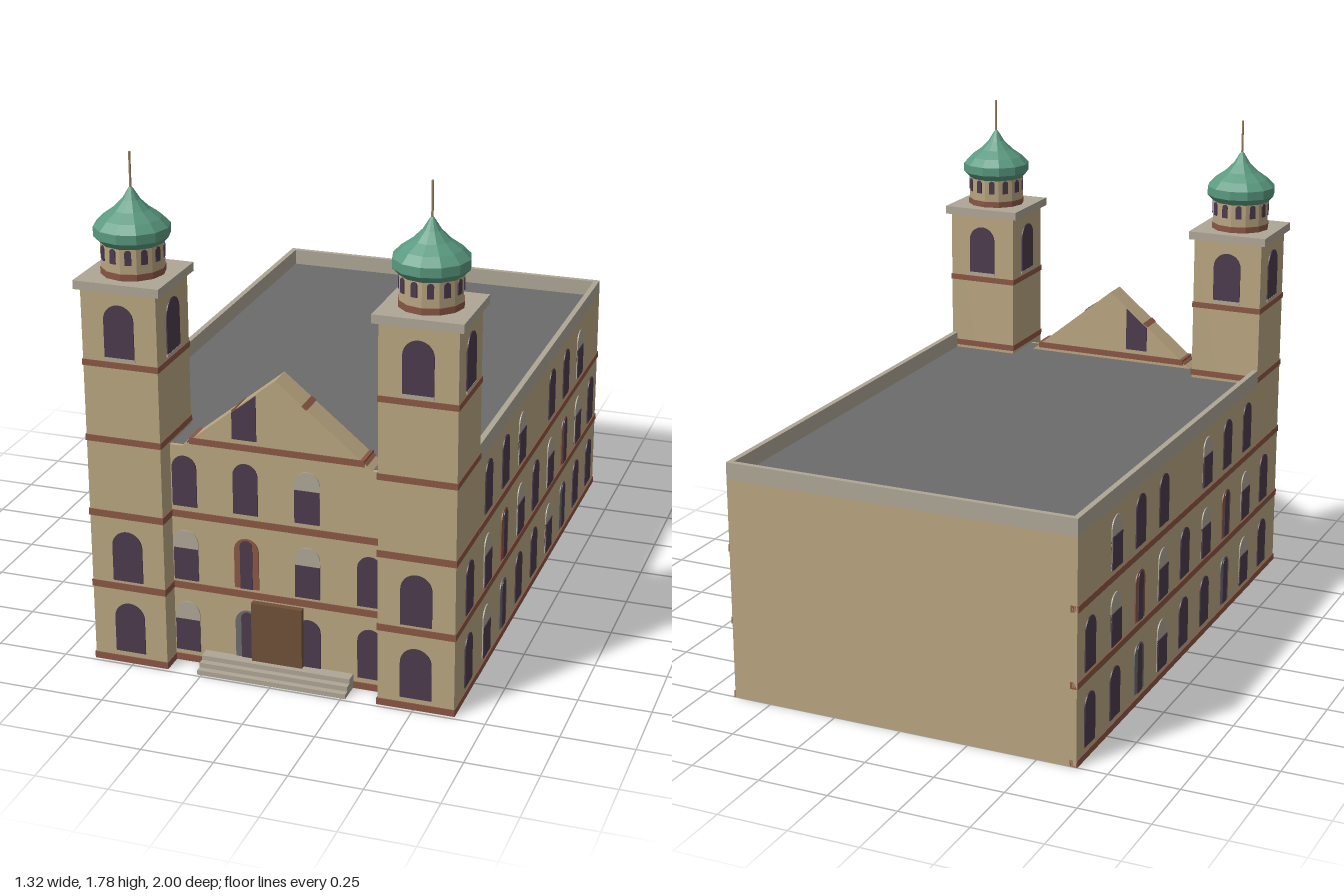
import * as THREE from 'three';

const mat = (name, color) => {
  const m = new THREE.MeshStandardMaterial({ color });
  m.name = name;
  return m;
};
const M = {
  wall: mat('sandstone', 0xb9a580),
  band: mat('brick', 0x8a5644),
  glass: mat('dark glass', 0x4b3a4c),
  stone: mat('pale stone', 0xaea696),
  roof: mat('slate grey', 0x6b6b6b),
  dome: mat('copper green', 0x5a9a80),
  door: mat('door wood', 0x6e5038),
  pole: mat('bronze', 0x9c8560),
};

function add(parent, name, geo, material, x = 0, y = 0, z = 0) {
  const mesh = new THREE.Mesh(geo, material);
  mesh.name = name;
  mesh.position.set(x, y, z);
  parent.add(mesh);
  return mesh;
}
// Box given by its extents
const box = (parent, name, m, x0, x1, y0, y1, z0, z1) =>
  add(parent, name, new THREE.BoxGeometry(x1 - x0, y1 - y0, z1 - z0), m,
    (x0 + x1) / 2, (y0 + y1) / 2, (z0 + z1) / 2);

const extrude = (shape, depth) =>
  new THREE.ExtrudeGeometry(shape, { depth, bevelEnabled: false, curveSegments: 10 });

// Faceted surface of revolution
function faceted(points, sides) {
  const g = new THREE.LatheGeometry(points.map(p => new THREE.Vector2(...p)), sides).toNonIndexed();
  g.computeVertexNormals();
  return g;
}

// Square tube standing upright, open at both ends
function squareRing(half, thick, height) {
  const sq = (C, r) => new C().setFromPoints([[-r, -r], [r, -r], [r, r], [-r, r]].map(p => new THREE.Vector2(...p)));
  const s = sq(THREE.Shape, half);
  s.holes.push(sq(THREE.Path, half - thick));
  return extrude(s, height).rotateX(-Math.PI / 2);
}

// Round-headed plate, base at y = 0
function archPlate(w, h, depth = 0.004) {
  const r = w / 2, s = new THREE.Shape();
  s.moveTo(-r, 0);
  s.lineTo(r, 0);
  s.lineTo(r, h - r);
  s.absarc(0, h - r, r, 0, Math.PI, false);
  s.closePath();
  return extrude(s, depth);
}

// Window kinds: a = plain, g = stone head, b = brick jambs, s = slate jambs
function windowAt(face, kind, x, y, w, h, innerOffset) {
  const base = { a: M.glass, g: M.stone, b: M.band, s: M.roof }[kind];
  add(face, 'window', archPlate(w, h), base, x, y, 0);
  if (kind === 'g') box(face, 'windowPane', M.glass, x - w / 2, x + w / 2, y, y + h * 0.64, 0.001, 0.007);
  if (kind === 'b' || kind === 's') add(face, 'windowPane', archPlate(w * 0.5, h * 0.97), M.glass, x, y, 0.003);
  if (innerOffset) add(face, 'innerWindow', archPlate(w, h), M.glass, x, y, -innerOffset);
}

// Local frame on a wall: x along the wall, z outward
function wallFace(parent, name, x, z, turn) {
  const g = new THREE.Group();
  g.name = name;
  g.position.set(x, 0, z);
  g.rotation.y = turn;
  parent.add(g);
  return g;
}

const FLOORS = [0.043, 0.31, 0.582];
const WIN_H = 0.183;
const BANDS = [[0, 0.024], [0.275, 0.299], [0.54, 0.564]];

function buildSide(root, s) {
  const side = new THREE.Group();
  side.name = s > 0 ? 'leftSide' : 'rightSide';
  root.add(side);
  const x0 = s > 0 ? 0.62 : -0.64, x1 = x0 + 0.02;
  box(side, 'sideWall', M.wall, x0, x1, 0, 0.8, -1, 0.72);
  box(side, 'sideParapet', M.stone, x0, x1, 0.8, 0.86, -1, 0.72);
  for (const [a, b] of BANDS) box(side, 'sideBand', M.band, x0 - 0.004, x1 + 0.004, a, b, -1, 0.72);
  const face = wallFace(side, 'sideWindows', s * 0.64, 0, s * Math.PI / 2);
  const rows = ['agsaagsaa', 'agbgagbga', ' aag aag '];
  rows.forEach((row, f) => [...row].forEach((kind, i) => {
    if (kind !== ' ') windowAt(face, kind, -s * (0.825 - 0.215 * i), FLOORS[f], 0.085, WIN_H, 0.024);
  }));
}

function buildTower(root, s) {
  const t = new THREE.Group();
  t.name = s > 0 ? 'leftTower' : 'rightTower';
  t.position.set(s * 0.508, 0, 0.852);
  root.add(t);
  const half = 0.132;
  add(t, 'towerShaft', squareRing(half, 0.02, 1.345), M.wall);
  for (const [a, b] of [...BANDS, [0.812, 0.834], [1.08, 1.101]])
    add(t, 'towerBand', squareRing(half + 0.003, 0.026, b - a), M.band, 0, a, 0);
  box(t, 'towerCornice', M.stone, -0.15, 0.15, 1.345, 1.375, -0.148, 0.148);

  // Belfry windows on every face, lower windows on the front
  for (let i = 0; i < 4; i++) {
    const a = i * Math.PI / 2;
    const face = wallFace(t, 'belfryFace', Math.sin(a) * half, Math.cos(a) * half, a);
    windowAt(face, 'a', 0, 1.118, 0.105, 0.182);
    box(face, 'belfrySill', M.stone, -0.055, 0.055, 1.108, 1.118, 0, 0.005);
    if (i === 0) for (const y of FLOORS.slice(0, 2)) windowAt(face, 'a', 0, y, 0.108, WIN_H);
  }

  // Drum with slit windows
  add(t, 'drum', faceted([[0.105, 1.37], [0.105, 1.485]], 12), M.wall);
  add(t, 'drumBand', faceted([[0.105, 1.375], [0.108, 1.375], [0.108, 1.397], [0.105, 1.397]], 12), M.band);
  for (let i = 0; i < 12; i++) {
    const a = (i + 0.5) * Math.PI / 6, r = 0.105 * Math.cos(Math.PI / 12);
    const face = wallFace(t, 'drumFace', Math.sin(a) * r, Math.cos(a) * r, a);
    add(face, 'drumWindow', archPlate(0.022, 0.05), M.glass, 0, 1.428, 0);
  }

  // Onion dome and finial
  add(t, 'dome', faceted([[0, 1.475], [0.1, 1.475], [0.127, 1.503], [0.127, 1.535], [0.1, 1.563],
    [0.062, 1.59], [0.03, 1.622], [0.01, 1.655], [0, 1.667]], 12), M.dome);
  add(t, 'finial', new THREE.CylinderGeometry(0.004, 0.004, 0.13, 8), M.pole, 0, 1.715, 0);
}

function buildFront(root) {
  const front = new THREE.Group();
  front.name = 'front';
  root.add(front);
  const zf = 0.905, zb = 0.815;
  box(front, 'facade', M.wall, -0.378, 0.378, 0, 0.8, zb, zf);
  for (const [a, b] of BANDS) box(front, 'facadeBand', M.band, -0.376, 0.376, a, b, zb - 0.004, zf + 0.004);

  // Gable with its band, window and strips on the slopes
  const tri = new THREE.Shape([[-0.335, 0.798], [0.335, 0.798], [0, 1.072]].map(p => new THREE.Vector2(...p)));
  add(front, 'gable', extrude(tri, zf - zb), M.wall, 0, 0, zb);
  box(front, 'gableBand', M.band, -0.305, 0.305, 0.812, 0.834, zb - 0.004, zf + 0.004);
  const pane = new THREE.Shape([[-0.153, 0.85], [-0.068, 0.85], [-0.068, 1.012], [-0.153, 0.943]]
    .map(p => new THREE.Vector2(...p)));
  for (const z of [zf, zb - 0.004]) add(front, 'gableWindow', extrude(pane, 0.004), M.glass, 0, 0, z);
  const slope = Math.atan2(0.274, 0.335);
  for (const x of [-0.305, -0.145, 0.1, 0.305]) {
    const strip = add(front, 'slopeStrip', new THREE.BoxGeometry(0.022, 0.006, zf - zb), M.band,
      x, 1.072 - Math.abs(x) * 0.274 / 0.335, (zf + zb) / 2);
    strip.rotation.z = -Math.sign(x) * slope;
  }

  // Windows, three floors
  const face = wallFace(front, 'facadeWindows', 0, zf, 0);
  const back = wallFace(front, 'facadeInnerWindows', 0, zb, Math.PI);
  ['gsaa', 'gbga', 'aag '].forEach((row, f) => [...row].forEach((kind, i) => {
    const x = -0.327 + 0.217 * i;
    if (kind === ' ') return;
    windowAt(face, kind, x, FLOORS[f], 0.087, WIN_H);
    windowAt(back, 'a', -x, FLOORS[f], 0.087, WIN_H);
  }));

  // Door and steps
  box(front, 'door', M.door, -0.09, 0.09, 0.03, 0.268, zf, 0.927);
  for (let i = 0; i < 3; i++)
    box(front, 'step', M.stone, -0.265, 0.265, i * 0.017, (i + 1) * 0.017, zf, 0.99 - i * 0.022);
}

export function createModel() {
  const root = new THREE.Group();
  root.name = 'twinTowerChurch';
  // Rear wall and flat roof
  box(root, 'backWall', M.wall, -0.62, 0.62, 0, 0.8, -1, -0.98);
  box(root, 'backParapet', M.stone, -0.62, 0.62, 0.8, 0.86, -1, -0.98);
  box(root, 'roof', M.roof, -0.62, 0.62, 0.78, 0.801, -0.98, 0.89);
  for (const s of [-1, 1]) {
    buildSide(root, s);
    buildTower(root, s);
    // Tower windows on the outer flank
    const flank = wallFace(root, 'towerFlank', s * 0.64, 0.825, s * Math.PI / 2);
    flank.children.length || FLOORS.slice(0, 2).forEach(y => windowAt(flank, 'a', 0, y, 0.085, WIN_H));
  }
  buildFront(root);
  return root;
}
